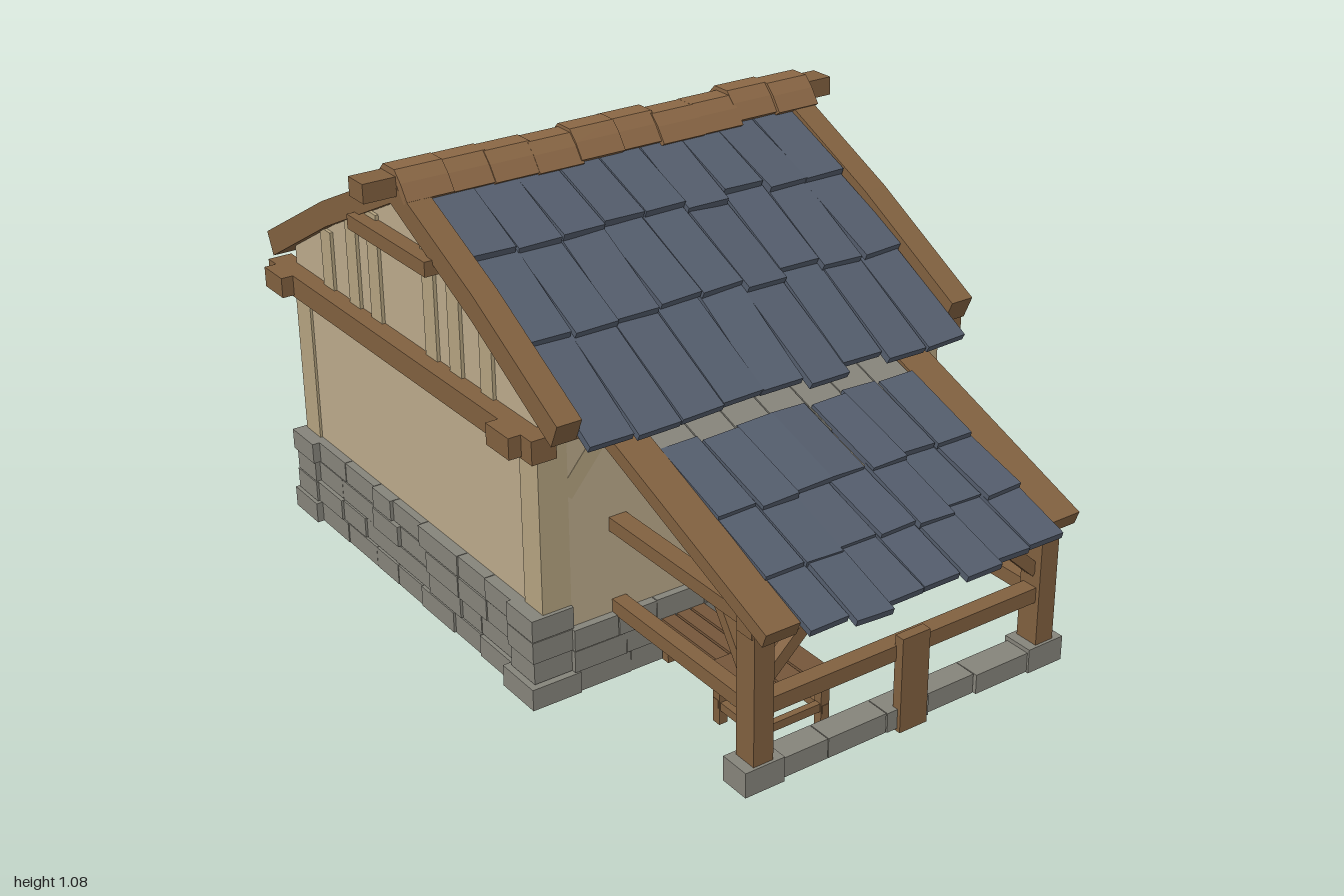
import * as THREE from 'three';

const mat = (name, color, side = THREE.FrontSide) => {
  const m = new THREE.MeshStandardMaterial({ color, side });
  m.name = name;
  return m;
};

export function createModel() {
  const root = new THREE.Group();
  root.name = 'cottage';
  const wood = mat('timber', 0x80603f);
  const ridgeWood = mat('ridge timber', 0x8a6745);
  const darkWood = mat('door timber', 0x75563a);
  const slate = mat('slate', 0x535c6b);
  const stone = mat('stone', 0x85837a);
  const plaster = mat('plaster', 0xbaa98a, THREE.DoubleSide);
  const paleWood = mat('pale timber', 0xb3a27f);
  const iron = mat('blue grey post', 0x4a566b);

  let seed = 7;
  const rnd = () => (seed = (seed * 16807) % 2147483647) / 2147483647;
  const jit = (a) => (rnd() - 0.5) * 2 * a;
  let group = root;
  const part = (name) => {
    group = new THREE.Group();
    group.name = name;
    root.add(group);
  };
  const add = (name, geo, m) => {
    const mesh = new THREE.Mesh(geo, m);
    mesh.name = name;
    group.add(mesh);
    return mesh;
  };
  // box given by its limits on each axis
  const box = (name, m, x0, x1, y0, y1, z0, z1) => {
    const b = add(name, new THREE.BoxGeometry(x1 - x0, y1 - y0, z1 - z0), m);
    b.position.set((x0 + x1) / 2, (y0 + y1) / 2, (z0 + z1) / 2);
    return b;
  };
  // bar of section w by h running from a to b
  const bar = (name, m, a, b, w, h = w) => {
    const p = new THREE.Vector3(...a), q = new THREE.Vector3(...b);
    const s = add(name, new THREE.BoxGeometry(w, h, p.distanceTo(q)), m);
    s.position.copy(p).lerp(q, 0.5);
    s.lookAt(q);
    return s;
  };

  const CX = -0.17, CZ = -0.175; // house centre
  const X0 = -0.71, X1 = 0.37, Z0 = -0.72, Z1 = 0.37;

  // plaster walls, open underneath
  part('walls');
  for (const [z, n] of [[Z1, 'frontWall'], [Z0, 'backWall']])
    box(n, plaster, X0, X1, 0.05, 0.66, z - 0.005, z + 0.005);
  const gable = new THREE.Shape([
    [Z0, 0.05], [Z1, 0.05], [Z1, 0.735], [CZ + 0.34, 0.86], [CZ, 1.02], [CZ - 0.34, 0.86], [Z0, 0.735],
  ].map(([z, y]) => new THREE.Vector2(-z, y)));
  for (const [x, n] of [[X0, 'leftWall'], [X1 - 0.01, 'rightWall']]) {
    const g = new THREE.ExtrudeGeometry(gable, { depth: 0.01, bevelEnabled: false });
    add(n, g.rotateY(Math.PI / 2), plaster).position.x = x;
  }

  // pale corner posts, braces and gable studs
  part('paleFraming');
  for (const sx of [-1, 1]) {
    const x = sx < 0 ? X0 : X1;
    for (const sz of [-1, 1]) {
      const z = sz < 0 ? Z0 : Z1;
      const ix = x - sx * 0.03, iz = z - sz * 0.03;
      box('cornerPost', paleWood, ix - 0.036, ix + 0.036, 0.2, 0.64, iz - 0.036, iz + 0.036);
      bar('cornerBrace', paleWood, [ix - sx * 0.03, 0.5, z], [ix - sx * 0.13, 0.62, z], 0.012, 0.04);
    }
    for (const d of [-0.36, -0.23, -0.125, 0.125, 0.23, 0.36])
      box('gableStud', paleWood, x - 0.008, x + 0.008, 0.66, 1.0 - Math.abs(d) * 0.5, CZ + d - 0.025, CZ + d + 0.025);
  }

  // plate beams and gable ties
  part('beams');
  for (const x of [-0.725, 0.375]) {
    box('sideBeam', wood, x - 0.03, x + 0.03, 0.62, 0.675, -0.78, 0.42);
    box('gableTie', wood, x - 0.025, x + 0.015, 0.89, 0.925, CZ - 0.175, CZ + 0.175);
  }
  for (const z of [-0.695, 0.335]) box('eaveBeam', wood, -0.785, 0.447, 0.625, 0.675, z - 0.045, z + 0.045);

  // bent bargeboards at both roof ends
  part('bargeboards');
  const prof = [[0, 1.06], [0.34, 0.9], [0.655, 0.725]];
  const low = [[0.63, 0.67], [0.33, 0.84], [0, 1.0]];
  const P = (s) => ([d, y]) => new THREE.Vector2(-(CZ + s * d), y);
  const boardShape = new THREE.Shape([
    ...prof.map(P(1)), ...low.map(P(1)), ...low.slice(0, 2).reverse().map(P(-1)), ...prof.slice(1).reverse().map(P(-1)),
  ]);
  for (const x of [-0.73, 0.32]) {
    const g = new THREE.ExtrudeGeometry(boardShape, { depth: 0.06, bevelEnabled: false });
    add('bargeboard', g.rotateY(Math.PI / 2), wood).position.x = x;
  }

  // main roof slates: three overlapping courses on each slope
  part('roofSlates');
  const courses = [[0.03, 1.02, 0.25, 0.93], [0.21, 0.932, 0.46, 0.808], [0.41, 0.818, 0.685, 0.662]];
  const cols = 9, tw = 0.99 / cols;
  for (const s of [-1, 1])
    for (let c = 0; c < cols; c++) {
      const x = -0.67 + (c + 0.5) * tw;
      const drop = jit(0.012);
      for (const [d0, y0, d1, y1] of courses) {
        const k = jit(0.006);
        const t = bar('slate', slate, [x + k, y0, CZ + s * d0], [x - k, y1 - drop * 0.6, CZ + s * (d1 + drop)], tw - 0.003, 0.018);
        t.rotateZ(jit(0.035));
      }
    }

  // ridge beam with capping pieces
  part('ridge');
  box('ridgeBeam', wood, -0.81, 0.46, 1.025, 1.07, CZ - 0.032, CZ + 0.032);
  const cap = new THREE.Shape([
    [-0.075, 1.02], [-0.05, 1.055], [-0.025, 1.08], [0.025, 1.08], [0.05, 1.055], [0.075, 1.02],
    [0.06, 1.01], [0.02, 1.06], [-0.02, 1.06], [-0.06, 1.01],
  ].map(([z, y]) => new THREE.Vector2(z, y)));
  const caps = 10, cw = 1.11 / caps;
  for (let i = 0; i < caps; i++) {
    const g = new THREE.ExtrudeGeometry(cap, { depth: cw + 0.006, bevelEnabled: false });
    add('ridgeCap', g.rotateY(Math.PI / 2), ridgeWood).position.set(-0.73 + i * cw, 0.004 + jit(0.006), CZ + jit(0.006));
  }

  // stone footing: staggered courses round the house with a gap for the door
  part('stoneFooting');
  const run = (a0, a1, y0, y1, place) => {
    const n = Math.max(1, Math.round((a1 - a0) / 0.125));
    const cuts = [a0];
    for (let i = 1; i < n; i++) cuts.push(a0 + ((a1 - a0) * i) / n + jit(0.03));
    cuts.push(a1);
    for (let i = 0; i < n; i++) place(cuts[i] + 0.001, cuts[i + 1] - 0.001, y0, y1, jit(0.006));
  };
  const onZ = (z, s) => (a, b, y0, y1, o) => box('stone', stone, a, b, y0, y1, z - 0.03 - (s < 0 ? o : 0), z + 0.03 + (s > 0 ? o : 0));
  const onX = (x, s) => (a, b, y0, y1, o) => box('stone', stone, x - 0.03 - (s < 0 ? o : 0), x + 0.03 + (s > 0 ? o : 0), y0, y1, a, b);
  for (let r = 0; r < 4; r++) {
    const y0 = 0.018 + r * 0.054, y1 = y0 + 0.052;
    if (r < 3) run(-0.65, 0.31, y0, y1, onZ(0.36, 1));
    run(-0.65, 0.31, y0, y1, onZ(-0.705, -1));
    run(-0.64, 0.29, y0, y1, onX(-0.705, -1));
    run(-0.64, -0.405, y0, y1, onX(0.37, 1));
    run(0.055, 0.29, y0, y1, onX(0.37, 1));
    for (const sx of [-1, 1])
      for (const sz of [-1, 1]) {
        const w = (r === 0 ? 0.06 : 0.05) + jit(0.006), cx = CX + sx * 0.527, cz = CZ + sz * 0.508;
        box('cornerStone', stone, cx - w, cx + w, y0, y1, cz - w, cz + w);
      }
  }

  // plank door with frame, raised panels and stone lintel
  part('door');
  box('doorBack', darkWood, 0.36, 0.385, 0.02, 0.51, -0.4, 0.05);
  for (const z of [-0.385, 0.035]) box('doorJamb', wood, 0.36, 0.415, 0.02, 0.51, z - 0.015, z + 0.015);
  for (let i = 0; i < 5; i++) box('doorPlank', darkWood, 0.38, 0.398, 0.025, 0.505, -0.365 + i * 0.077, -0.291 + i * 0.077);
  for (const z of [-0.24, -0.13])
    for (const y of [0.28, 0.4]) box('doorPanel', wood, 0.39, 0.406, y, y + 0.09, z - 0.045, z + 0.045);
  box('doorSill', wood, 0.37, 0.41, 0.02, 0.05, -0.37, 0.02);
  box('lintel', stone, 0.35, 0.46, 0.515, 0.58, -0.445, 0.09);

  // gable window
  part('gableWindow');
  box('windowBack', darkWood, 0.37, 0.378, 0.7, 0.865, -0.26, -0.09);
  for (const z of [-0.262, -0.088]) box('windowSide', wood, 0.37, 0.395, 0.695, 0.875, z - 0.014, z + 0.014);
  for (const y of [0.705, 0.862]) box('windowRail', wood, 0.37, 0.393, y - 0.014, y + 0.014, -0.27, -0.08);
  box('mullion', wood, 0.37, 0.388, 0.7, 0.865, -0.182, -0.168);
  box('transom', wood, 0.37, 0.387, 0.775, 0.79, -0.26, -0.09);

  // door ramp
  part('ramp');
  for (let i = 0; i < 3; i++) {
    const x = 0.405 + i * 0.075;
    box('rampPlank', wood, x, x + 0.072, 0.028 - i * 0.006, 0.052 - i * 0.006, -0.37 + jit(0.004), 0.01).rotation.z = -0.08;
  }
  for (const z of [-0.31, -0.05]) box('rampBearer', darkWood, 0.41, 0.6, 0.012, 0.028, z - 0.02, z + 0.02);

  // porch frame
  part('porch');
  const roofY = (z) => 0.62 - (z - 0.38) * 0.385;
  for (const s of [-1, 1]) {
    const at = (d) => -0.131 + s * d;
    const px = at(0.39);
    bar('rafter', wood, [at(0.38), roofY(0.36) - 0.015, 0.36], [at(0.38), roofY(0.935) - 0.015, 0.935], 0.085, 0.035);
    box('porchPost', wood, px - 0.025, px + 0.025, 0.05, 0.4, 0.835, 0.895);
    box('sideBeam', wood, px - 0.022, px + 0.022, 0.38, 0.413, 0.37, 0.89);
    box('sideRail', wood, px - 0.018, px + 0.018, 0.175, 0.21, 0.37, 0.85);
    bar('frontBrace', wood, [px - s * 0.02, 0.25, 0.865], [px - s * 0.16, 0.38, 0.865], 0.025, 0.03);
    bar('sideBrace', wood, [px, 0.24, 0.85], [px, 0.39, 0.745], 0.025, 0.025);
    box('postStone', stone, px - 0.05, px + 0.05, 0.01, 0.07, 0.825, 0.902);
  }
  box('frontBeam', wood, -0.55, 0.29, 0.37, 0.403, 0.84, 0.89);
  box('frontRail', wood, -0.51, 0.25, 0.175, 0.212, 0.845, 0.885);
  box('frontBoard', wood, -0.165, -0.09, 0.005, 0.237, 0.88, 0.905);
  run(-0.47, 0.21, 0.012, 0.06, onZ(0.862, 1));

  // porch slates with a grey course against the house
  part('porchSlates');
  const pc = 7, pw = 0.675 / pc;
  for (let c = 0; c < pc; c++) {
    const x = -0.47 + (c + 0.5) * pw;
    const o = jit(0.012);
    bar('headSlab', stone, [x, roofY(0.37) - 0.012, 0.37], [x, roofY(0.55) - 0.004, 0.55], pw - 0.003, 0.014);
    [[0.47, 0.68], [0.65, 0.84], [0.8, 0.985]].forEach(([z0, z1], r) => {
      const shift = o + (r === 0 ? 0 : jit(0.012));
      const t = bar('slate', slate, [x + jit(0.004), roofY(z0) - 0.002, z0 + shift], [x + jit(0.004), roofY(z1) + 0.012, z1 + shift], pw - 0.003, 0.016);
      t.rotateZ(jit(0.05));
    });
  }

  // slatted tables under the porch
  part('porchFurniture');
  const table = (x0, x1, z0, z1, h) => {
    for (let i = 0; i < 3; i++) {
      const w = (x1 - x0) / 3;
      box('tableSlat', darkWood, x0 + i * w, x0 + (i + 1) * w - 0.006, h - 0.015, h, z0, z1);
    }
    for (const x of [x0 + 0.012, x1 - 0.012]) {
      for (const z of [z0 + 0.012, z1 - 0.012]) box('tableLeg', wood, x - 0.011, x + 0.011, 0.02, h - 0.012, z - 0.011, z + 0.011);
      box('stretcher', wood, x - 0.008, x + 0.008, 0.055, 0.075, z0, z1);
    }
    for (const z of [z0 + 0.012, z1 - 0.012]) box('crossRail', wood, x0, x1, 0.06, 0.08, z - 0.008, z + 0.008);
  };
  table(-0.47, -0.28, 0.65, 0.81, 0.17);
  table(-0.42, -0.3, 0.39, 0.62, 0.125);

  // hitching stand: two footed posts joined by a pole
  part('hitchingStand');
  const posts = [[0.685, -0.957], [0.555, -0.48]];
  for (const [x, z] of posts) {
    const p = box('standPost', iron, x - 0.02, x + 0.02, 0.015, 0.5, z - 0.02, z + 0.02);
    p.rotation.y = -0.27;
    for (const s of [-1, 1])
      bar('standFoot', iron, [x, 0.125, z], [x + s * 0.115, 0.02, z + s * 0.033], 0.03, 0.03);
  }
  const [a, b] = posts;
  bar('standPole', wood, [a[0], 0.465, a[1]], [b[0], 0.465, b[1]], 0.022);
  for (const t of [0.25, 0.5, 0.75]) {
    const q = (k) => [a[0] + (b[0] - a[0]) * k, 0.465, a[1] + (b[1] - a[1]) * k];
    bar('poleBand', darkWood, q(t - 0.012), q(t + 0.012), 0.028);
  }
  return root;
}
